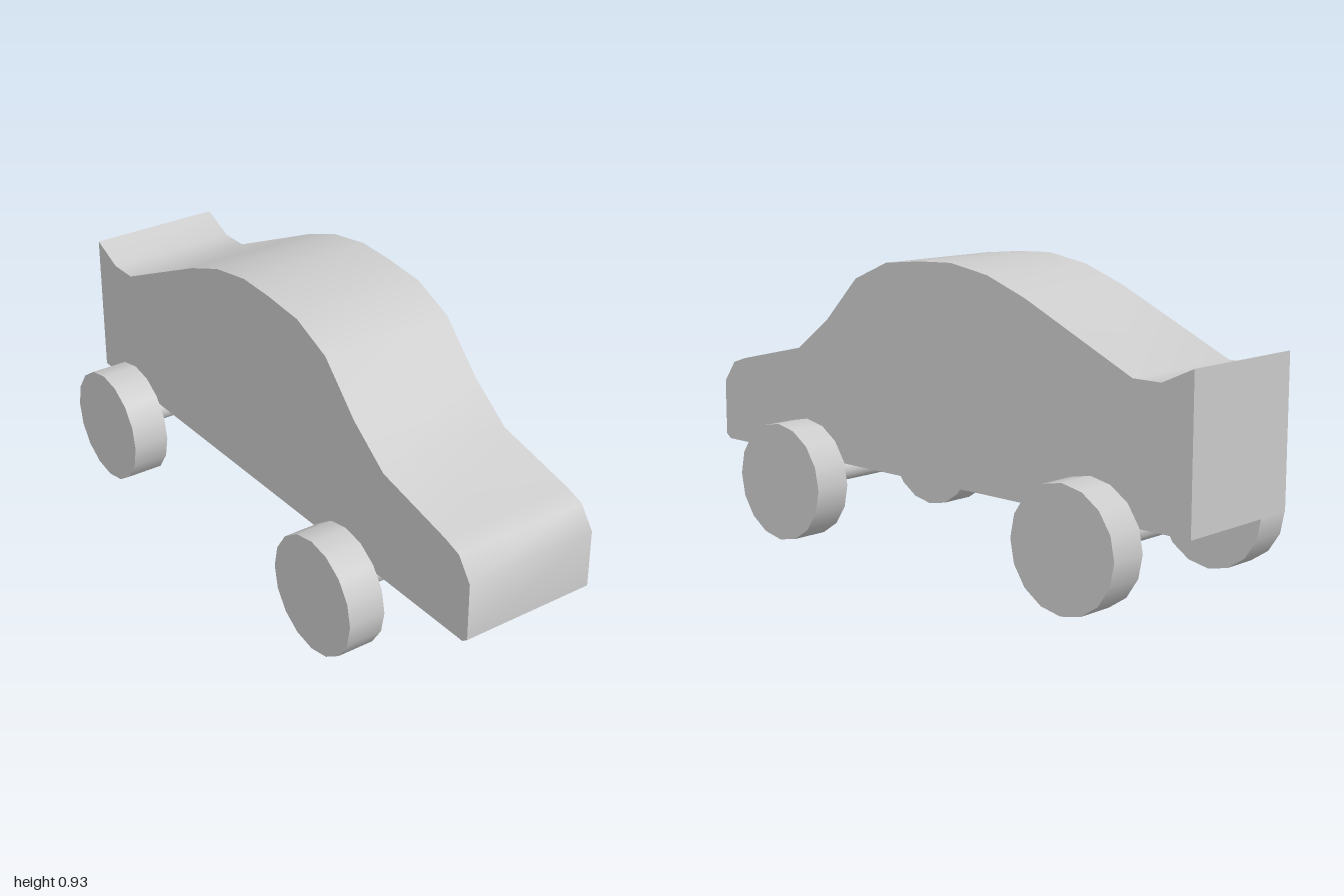
import * as THREE from 'three';
import { toCreasedNormals } from 'three/addons/utils/BufferGeometryUtils.js';

const material = new THREE.MeshStandardMaterial({ color: 0xcccccc });
const BODY_WIDTH = 0.445;
const AXLE_Y = 0.19;

// Side profile of the body as (z, y), from the nose over the roof to the tail
const PROFILE = [
  [1, 0.44], [0.95, 0.51], [0.89, 0.53], [0.61, 0.595], [0.47, 0.7],
  [0.33, 0.845], [0.19, 0.905], [0.04, 0.92], [-0.09, 0.925], [-0.24, 0.9],
  [-0.39, 0.845], [-0.79, 0.66], [-0.89, 0.66], [-1, 0.71],
  [-1, 0.24], [0.98, 0.24], [1, 0.255],
];

function addMesh(parent, name, geometry, x = 0, y = 0, z = 0) {
  const mesh = new THREE.Mesh(geometry, material);
  mesh.name = name;
  mesh.position.set(x, y, z);
  parent.add(mesh);
  return mesh;
}

// Cylinder lying along x
function crossCylinder(radius, length, sides) {
  return new THREE.CylinderGeometry(radius, radius, length, sides).rotateZ(Math.PI / 2);
}

export function createModel() {
  const model = new THREE.Group();
  model.name = 'toyCar';

  // Body: the side profile extruded across the width
  const shape = new THREE.Shape(PROFILE.map(([z, y]) => new THREE.Vector2(z, y)));
  const body = new THREE.ExtrudeGeometry(shape, { depth: BODY_WIDTH, bevelEnabled: false });
  body.translate(0, 0, -BODY_WIDTH / 2).rotateY(-Math.PI / 2);
  addMesh(model, 'body', toCreasedNormals(body, 0.7));

  // Axles, each with a wheel at both ends
  const axleGeometry = crossCylinder(0.038, 0.57, 16);
  const wheelGeometry = crossCylinder(0.19, 0.122, 16);
  for (const [end, z] of [['front', 0.51], ['rear', -0.69]]) {
    addMesh(model, `${end}Axle`, axleGeometry, 0, AXLE_Y, z);
    addMesh(model, `${end}LeftWheel`, wheelGeometry, 0.339, AXLE_Y, z);
    addMesh(model, `${end}RightWheel`, wheelGeometry, -0.339, AXLE_Y, z);
  }

  return model;
}
